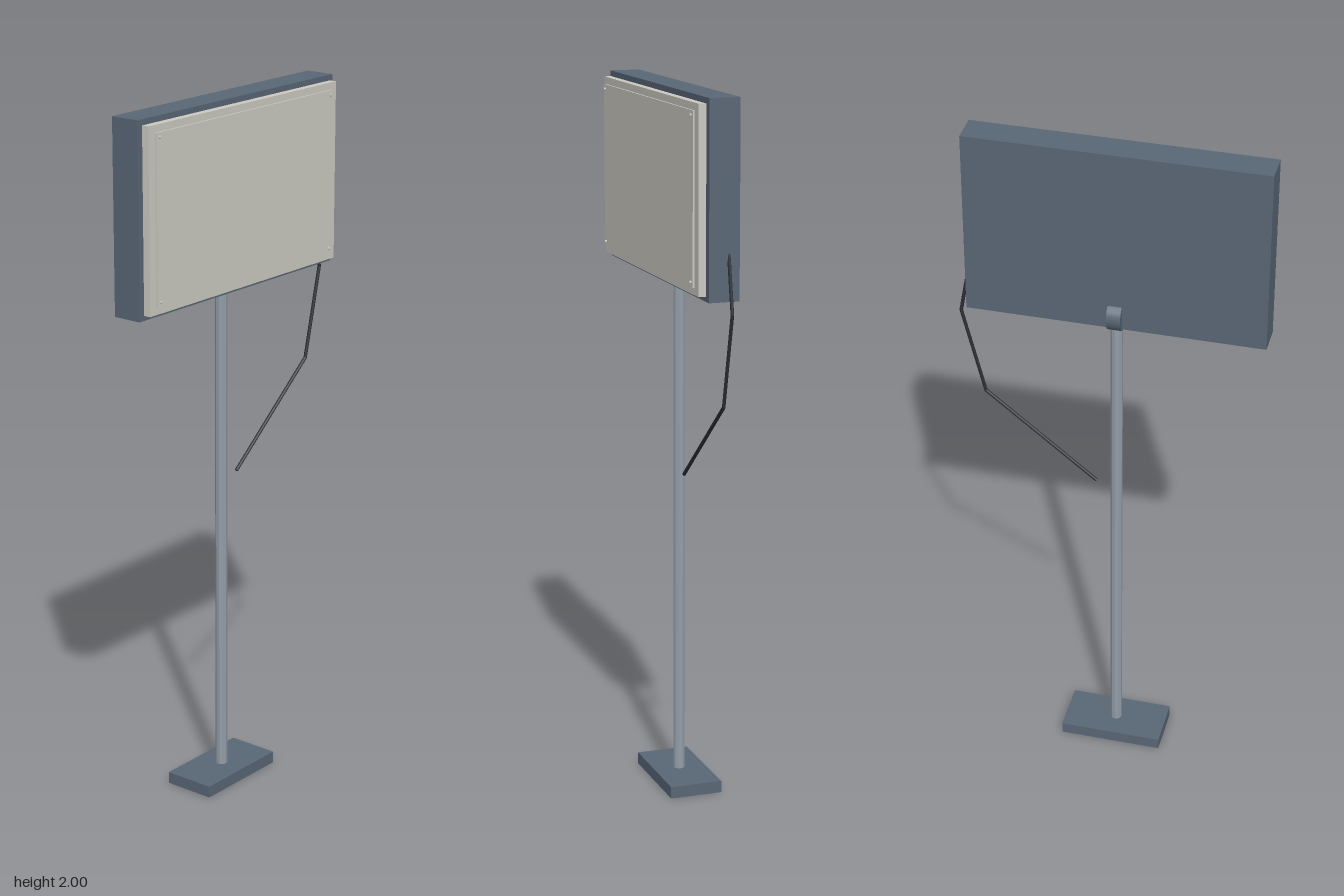
import * as THREE from 'three';

const makeMaterial = (name, color) => {
  const m = new THREE.MeshStandardMaterial({ color });
  m.name = name;
  return m;
};

export function createModel() {
  const model = new THREE.Group();
  model.name = 'standingPanel';

  const slate = makeMaterial('slate', 0x596675);
  const steel = makeMaterial('steel', 0x929da7);
  const cream = makeMaterial('cream', 0xcbc9c1);
  const black = makeMaterial('cableBlack', 0x2a2f37);

  const cx = -0.0175; // axis of the stand
  const cz = -0.0125;

  const add = (name, geometry, material, x, y, z) => {
    const mesh = new THREE.Mesh(geometry, material);
    mesh.name = name;
    mesh.position.set(x, y, z);
    model.add(mesh);
    return mesh;
  };

  // Box given by its centre in x and its ranges in y and z
  const box = (name, material, width, y0, y1, z0, z1) =>
    add(name, new THREE.BoxGeometry(width, y1 - y0, z1 - z0), material, cx, (y0 + y1) / 2, (z0 + z1) / 2);

  // Stand
  box('base', slate, 0.297, 0, 0.034, -0.088, 0.063);
  const postGeometry = new THREE.CylinderGeometry(0.017, 0.017, 1.456, 10).toNonIndexed();
  postGeometry.computeVertexNormals();
  add('post', postGeometry, steel, cx, 0.034 + 0.728, cz);

  // Tilt joint, lying across the top of the post
  add('tiltJoint', new THREE.CylinderGeometry(0.044, 0.044, 0.039, 20), slate, cx, 1.5, cz)
    .rotation.z = Math.PI / 2;

  // Head: housing, light panel and thin cover sheet
  box('housing', slate, 0.826, 1.468, 2, -0.035, 0.05);
  box('panel', cream, 0.796, 1.483, 1.985, 0.053, 0.074);
  box('coverSheet', cream, 0.752, 1.504, 1.966, 0.077, 0.082);

  // Small pins at the corners of the cover sheet
  const pinGeometry = new THREE.CylinderGeometry(0.0045, 0.0045, 0.005, 8);
  for (const sx of [-1, 1]) {
    for (const y of [1.517, 1.953]) {
      add('cornerPin', pinGeometry, cream, cx + sx * 0.363, y, 0.0845).rotation.x = Math.PI / 2;
    }
  }

  // Cable: straight runs with rounded joints
  const radius = 0.005;
  const path = [[0.39, 1.6], [0.42, 1.437], [0.358, 1.178], [0.042, 0.92]]
    .map(([x, y]) => new THREE.Vector3(x, y, -0.006));
  const up = new THREE.Vector3(0, 1, 0);
  for (let i = 0; i < path.length - 1; i++) {
    const run = path[i + 1].clone().sub(path[i]);
    const mid = path[i].clone().add(path[i + 1]).multiplyScalar(0.5);
    add('cable', new THREE.CylinderGeometry(radius, radius, run.length(), 8), black, mid.x, mid.y, mid.z)
      .quaternion.setFromUnitVectors(up, run.normalize());
    if (i > 0) add('cableBend', new THREE.SphereGeometry(radius, 8, 6), black, path[i].x, path[i].y, path[i].z);
  }

  return model;
}
